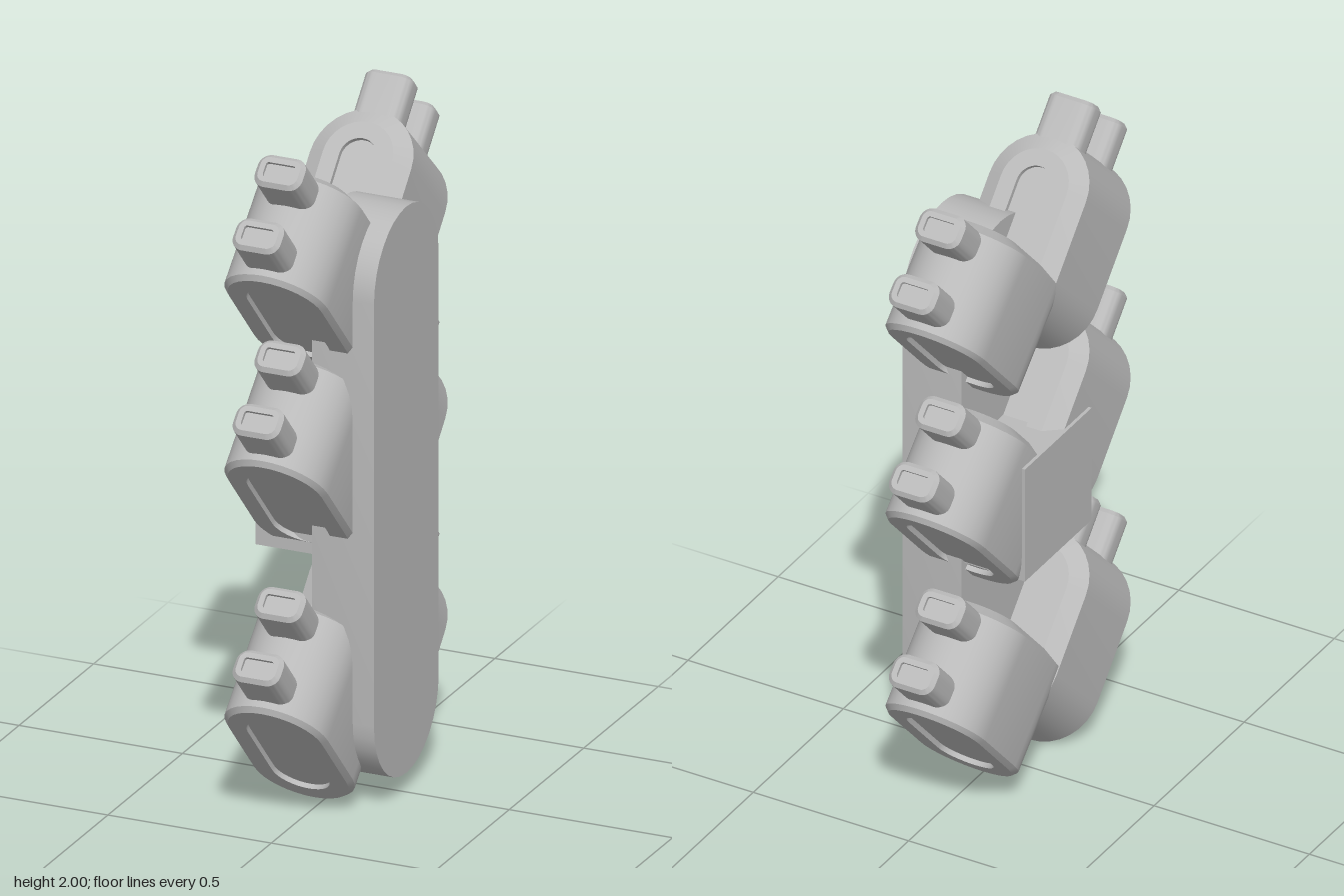
import * as THREE from 'three';
import { toCreasedNormals } from 'three/addons/utils/BufferGeometryUtils.js';

const CORNER_STEPS = 8;

// Rounded rectangle outline, shrunk evenly by inset
function outline(halfW, halfH, radius, inset) {
  const r = Math.max(radius - inset, 0.003);
  const cx = halfW - inset - r, cy = halfH - inset - r;
  const pts = [];
  [[1, 1], [-1, 1], [-1, -1], [1, -1]].forEach(([sx, sy], q) => {
    for (let i = 0; i <= CORNER_STEPS; i++) {
      const a = (q + i / CORNER_STEPS) * Math.PI / 2;
      pts.push([sx * cx + r * Math.cos(a), sy * cy + r * Math.sin(a)]);
    }
  });
  return pts;
}

// Solid lofted along z through [inset, z] sections, capped at both ends
function loft(halfW, halfH, radius, sections) {
  const pos = [], index = [];
  const n = 4 * (CORNER_STEPS + 1);
  for (const [inset, z] of sections) {
    for (const [x, y] of outline(halfW, halfH, radius, inset)) pos.push(x, y, z);
  }
  for (let s = 0; s < sections.length - 1; s++) {
    for (let j = 0; j < n; j++) {
      const a = s * n + j, b = s * n + (j + 1) % n;
      index.push(a, b, b + n, a, b + n, a + n);
    }
  }
  const last = (sections.length - 1) * n;
  for (let j = 1; j < n - 1; j++) {
    index.push(0, j + 1, j, last, last + j, last + j + 1);
  }
  const geo = new THREE.BufferGeometry();
  geo.setAttribute('position', new THREE.Float32BufferAttribute(pos, 3));
  geo.setIndex(index);
  return toCreasedNormals(geo, 0.5);
}

export function createModel() {
  const model = new THREE.Group();
  model.name = 'podRack';
  const grey = new THREE.MeshStandardMaterial({ color: 0xbababa });
  grey.name = 'grey';

  const add = (parent, geo, name, x = 0, y = 0, z = 0) => {
    const mesh = new THREE.Mesh(geo, grey);
    mesh.name = name;
    mesh.position.set(x, y, z);
    parent.add(mesh);
  };

  // Upright spine with round ends
  const spine = loft(0.217, 0.851, 0.217, [[0, 0], [0, 0.19]]);
  spine.rotateY(Math.PI / 2);
  add(model, spine, 'spine', 0, 0.916, 0.0105);

  // Mounting block on the open side of the spine
  add(model, new THREE.BoxGeometry(0.205, 0.37, 0.37), 'mountingBlock', -0.0925, 0.935, -0.005);

  // Pod body: chamfered rims and a shallow recess on both faces
  const bodyGeo = loft(0.155, 0.2755, 0.155, [
    [0.1, -0.24], [0.1, -0.255], [0.05, -0.255], [0, -0.225],
    [0, 0.088], [0.014, 0.102], [0.069, 0.102], [0.069, 0.087],
  ]);

  // Peg with a chamfered tip and recessed end
  const pegGeo = loft(0.0725, 0.05, 0.036, [
    [0, 0.55], [0, 0.743], [0.012, 0.755], [0.028, 0.755], [0.028, 0.745],
  ]);
  pegGeo.rotateX(-Math.PI / 2);

  // Tilted pods, three on the front and three on the back
  const rows = [
    { side: 'front', yaw: 0, heights: [0, 0.741, 1.298] },
    { side: 'back', yaw: Math.PI, heights: [0.042, 0.678, 1.298] },
  ];
  for (const { side, yaw, heights } of rows) {
    heights.forEach((y, i) => {
      const pod = new THREE.Group();
      pod.name = `${side}Pod${i + 1}`;
      pod.position.set(-0.03, y, 0);
      pod.rotation.set(0.752, yaw, 0, 'YXZ');
      add(pod, bodyGeo, 'podBody', 0, 0.3615, 0);
      add(pod, pegGeo, 'outerPeg', 0, 0, 0.018);
      add(pod, pegGeo, 'innerPeg', 0, 0, -0.182);
      model.add(pod);
    });
  }
  return model;
}
